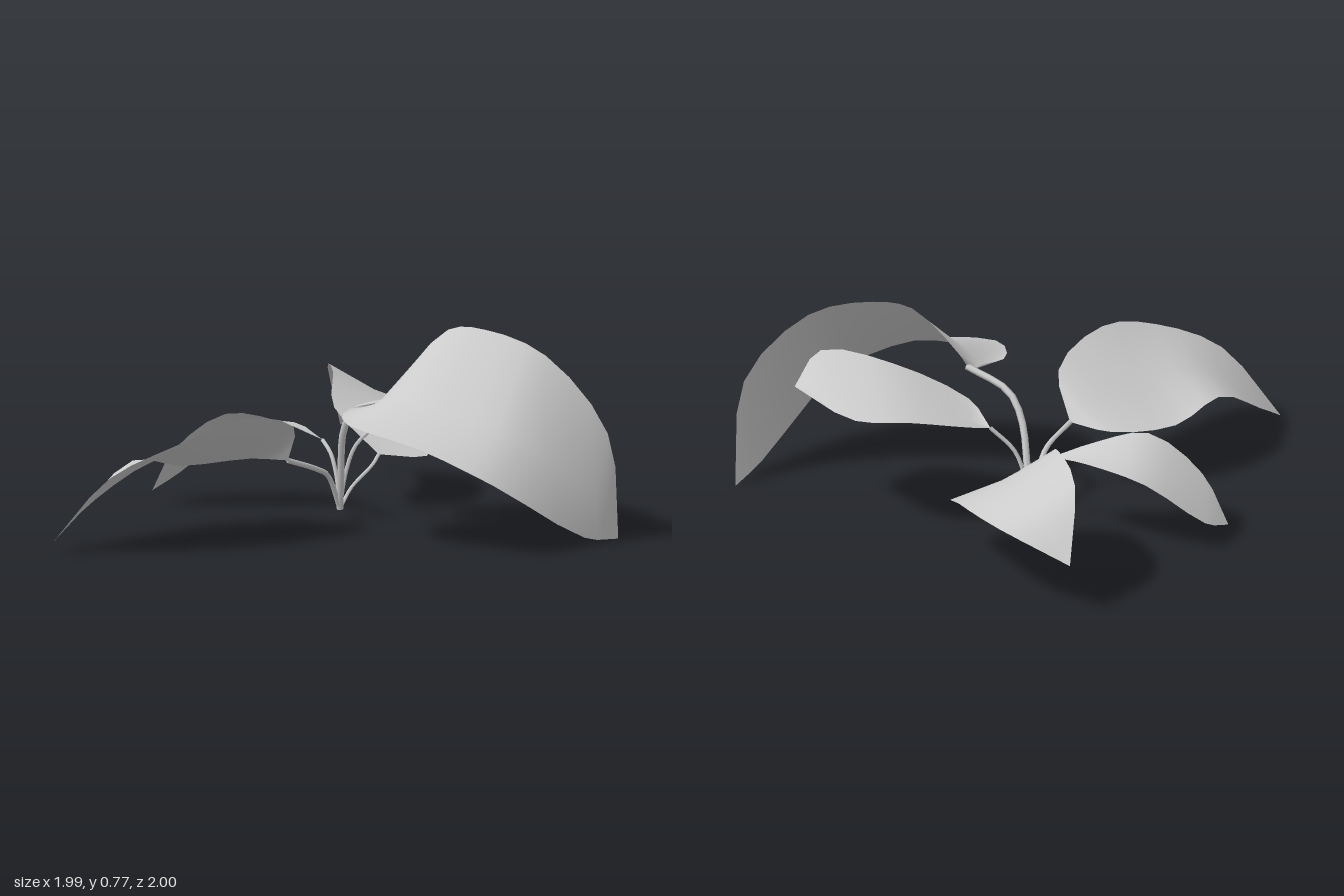
import * as THREE from 'three';

const material = new THREE.MeshStandardMaterial({ color: 0xcccccc, side: THREE.DoubleSide });
const root = [-0.12, 0.03, -0.05];

const smoothPath = points => new THREE.CatmullRomCurve3(points.map(p => new THREE.Vector3(...p)));

// Thin blade between two curved margins that meet at base and tip, with a sunken midrib
function leafGeometry(marginA, marginB, steps, sag) {
  const points = [];
  const index = [];
  for (let i = 0; i <= steps; i++) {
    const t = i / steps;
    const a = marginA.getPoint(t);
    const b = marginB.getPoint(t);
    const rib = a.clone().lerp(b, 0.5);
    rib.y -= sag * Math.sin(Math.PI * t);
    points.push(a, rib, b);
    if (i === steps) break;
    for (let k = i * 3; k < i * 3 + 2; k++) {
      if (i < steps - 1) index.push(k, k + 3, k + 4);
      else index.push(k, k + 3, k + 1);
      if (i > 0 && i < steps - 1) index.push(k, k + 4, k + 1);
    }
  }
  const geometry = new THREE.BufferGeometry().setFromPoints(points);
  geometry.setIndex(index);
  geometry.computeVertexNormals();
  return geometry;
}

// One stem from the shared root with its leaf at the end
function makeArm(name, radius, stemPoints, marginA, marginB, tip, sag) {
  const base = stemPoints[stemPoints.length - 1];
  const stem = new THREE.Mesh(
    new THREE.TubeGeometry(smoothPath([root, ...stemPoints]), 12, radius, 6), material);
  stem.name = name + 'Stem';
  const leaf = new THREE.Mesh(leafGeometry(
    smoothPath([base, ...marginA, tip]), smoothPath([base, ...marginB, tip]),
    3 * (marginA.length + 1), sag), material);
  leaf.name = name + 'Leaf';
  const arm = new THREE.Group();
  arm.name = name + 'Arm';
  arm.add(stem, leaf);
  return arm;
}

export function createModel() {
  const plant = new THREE.Group();
  plant.name = 'plant';
  // Large drooping leaf
  plant.add(makeArm('frontLeft', 0.013,
    [[-0.105, 0.17, 0.005], [-0.08, 0.34, 0.085], [-0.03, 0.43, 0.14], [0.13, 0.49, 0.24]],
    [[0.16, 0.56, 0.19], [0.33, 0.75, 0.155], [0.48, 0.76, 0.19], [0.72, 0.68, 0.25], [0.96, 0.4, 0.28]],
    [[0, 0.475, 0.36], [0.04, 0.455, 0.6], [0.34, 0.395, 0.745], [0.62, 0.27, 0.75], [0.9, 0.03, 0.42]],
    [0.99, 0, 0.235], 0.085));
  // Raised side leaf
  plant.add(makeArm('left', 0.008,
    [[-0.1, 0.16, -0.055], [-0.06, 0.27, -0.05], [0.03, 0.36, -0.05]],
    [[0.09, 0.39, -0.13], [0.33, 0.46, -0.27], [0.52, 0.46, -0.26]],
    [[0.12, 0.41, 0.12], [0.4, 0.54, 0.13], [0.67, 0.57, 0.175]],
    [0.76, 0.48, 0.03], 0.04));
  // Long leaf reaching forward
  plant.add(makeArm('frontRight', 0.01,
    [[-0.145, 0.16, 0.03], [-0.17, 0.21, 0.15], [-0.25, 0.26, 0.28]],
    [[-0.41, 0.25, 0.21], [-0.64, 0.235, 0.33], [-0.79, 0.28, 0.51], [-0.93, 0.13, 0.79]],
    [[-0.2, 0.41, 0.42], [-0.35, 0.48, 0.7], [-0.54, 0.41, 0.91], [-0.78, 0.29, 0.995]],
    [-1, 0.04, 0.95], 0.03));
  // Leaf reaching back
  plant.add(makeArm('back', 0.007,
    [[-0.09, 0.1, -0.12], [-0.03, 0.17, -0.2], [-0.02, 0.2, -0.28]],
    [[-0.2, 0.36, -0.34], [-0.24, 0.46, -0.52], [-0.32, 0.43, -0.81]],
    [[0.15, 0.19, -0.34], [0.12, 0.27, -0.6], [-0.04, 0.29, -0.9]],
    [-0.31, 0.185, -1], 0.02));
  // Small side leaf
  plant.add(makeArm('right', 0.008,
    [[-0.135, 0.15, -0.06], [-0.16, 0.23, -0.08], [-0.2, 0.275, -0.12]],
    [[-0.34, 0.31, -0.28], [-0.56, 0.27, -0.38], [-0.78, 0.1, -0.32]],
    [[-0.37, 0.34, -0.12], [-0.56, 0.365, -0.09], [-0.76, 0.22, -0.12]],
    [-0.86, 0.05, -0.2], 0.015));
  return plant;
}
